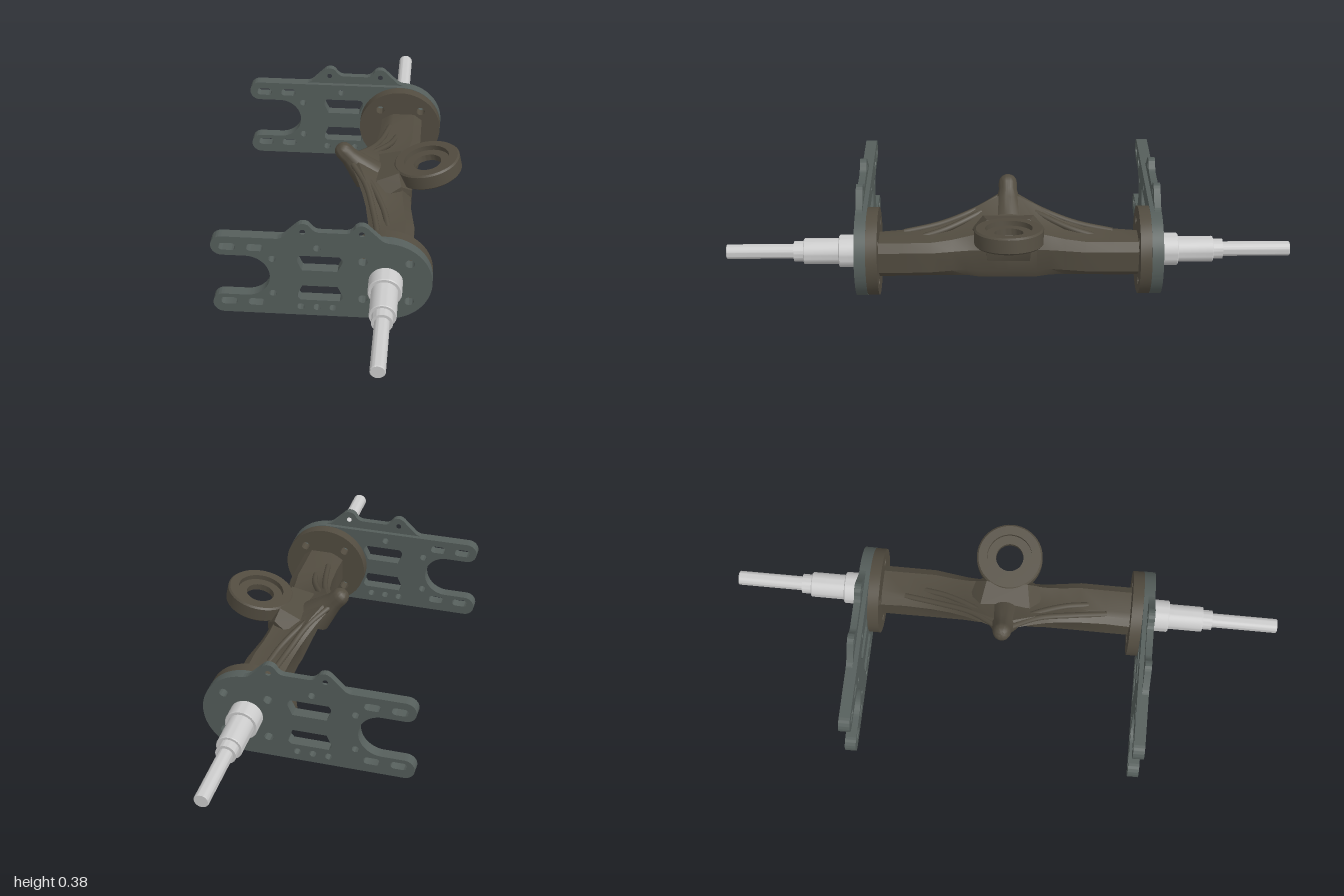
import * as THREE from 'three';
import { toCreasedNormals } from 'three/addons/utils/BufferGeometryUtils.js';
import { ConvexGeometry } from 'three/addons/geometries/ConvexGeometry.js';

const plateMat = new THREE.MeshStandardMaterial({ color: 0x555e5b });
const castMat = new THREE.MeshStandardMaterial({ color: 0x524c40 });
const steelMat = new THREE.MeshStandardMaterial({ color: 0xcccccc });

const AX = 0.17, AY = 0.157, R = 0.156; // axle centre and flange radius

function part(name, geo, mat, parent) {
  const mesh = new THREE.Mesh(geo, mat);
  mesh.name = name;
  parent.add(mesh);
  return mesh;
}

function circle(x, y, r) {
  return new THREE.Path().absarc(x, y, r, 0, Math.PI * 2, true);
}

function slot(x, y, half, r) {
  const p = new THREE.Path();
  p.absarc(x + half, y, r, -Math.PI / 2, Math.PI / 2, false);
  p.absarc(x - half, y, r, Math.PI / 2, Math.PI * 1.5, false);
  return p.closePath();
}

// Extrudes a shape between two distances from the centre, on side s
function slab(shape, z0, z1, s) {
  const geo = new THREE.ExtrudeGeometry(shape, { depth: z1 - z0, bevelEnabled: false, curveSegments: 28 });
  geo.translate(0, 0, s > 0 ? z0 : -z1);
  return toCreasedNormals(geo, 0.6);
}

const flangeHoles = [[0.093, 0.235], [0.093, 0.079], [0.25, 0.235], [0.25, 0.079]];

function plateShape() {
  const e = 0.0375, H = 0.314, P = Math.PI;
  const s = new THREE.Shape();
  s.moveTo(-0.38, 0);
  s.lineTo(AX, 0);
  s.absarc(AX, AY, AY, -P / 2, P / 2, false);
  s.lineTo(-0.38, H);
  s.absarc(-0.381, H - e, e, P / 2, P * 1.5, false);
  s.lineTo(-0.303, H - 2 * e);
  s.absarc(-0.303, AY, AY - 2 * e, P / 2, -P / 2, true);
  s.lineTo(-0.38, 2 * e);
  s.absarc(-0.381, e, e, P / 2, P * 1.5, false);
  for (const y of [0.274, 0.047]) for (const x of [-0.363, -0.269]) s.holes.push(slot(x, y, 0.015, 0.014));
  for (const [x, y] of [[-0.212, 0.231], [-0.212, 0.088], [-0.061, 0.282], [-0.118, 0.036], [-0.063, 0.036], [-0.008, 0.036]])
    s.holes.push(circle(x, y, 0.0125));
  for (const [x, y] of flangeHoles) s.holes.push(circle(x, y, 0.016));
  // Two mirrored windows either side of the middle web
  for (const m of [1, -1]) {
    const pts = [[-0.112, 0.032], [0.008, 0.032], [0.024, 0.068], [0.024, 0.08], [0.015, 0.092],
      [-0.119, 0.092], [-0.128, 0.08], [-0.128, 0.068]];
    s.holes.push(new THREE.Path(pts.map(([x, y]) => new THREE.Vector2(x, AY + m * y))));
  }
  return s;
}

// Thin tabs along the top edge
function tabShape() {
  const s = new THREE.Shape();
  s.moveTo(-0.195, 0.314);
  s.quadraticCurveTo(-0.182, 0.316, -0.172, 0.325);
  s.lineTo(-0.13, 0.367);
  s.quadraticCurveTo(-0.118, 0.379, -0.108, 0.379);
  s.quadraticCurveTo(-0.092, 0.379, -0.084, 0.368);
  s.quadraticCurveTo(-0.07, 0.346, -0.05, 0.346);
  s.lineTo(0.034, 0.346);
  s.quadraticCurveTo(0.054, 0.346, 0.066, 0.368);
  s.quadraticCurveTo(0.075, 0.379, 0.089, 0.379);
  s.quadraticCurveTo(0.102, 0.379, 0.112, 0.367);
  s.lineTo(0.155, 0.324);
  s.quadraticCurveTo(0.168, 0.314, 0.19, 0.312);
  s.lineTo(0.17, 0.31);
  s.lineTo(-0.15, 0.314);
  s.holes.push(circle(-0.108, 0.346, 0.0095), circle(0.089, 0.346, 0.0095));
  return s;
}

// Cast beam lofted along z: rounded box with a web rising to the pivot
function beamGeometry() {
  // distance from centre, web tip x and y, front face x, underside y, top y
  const half = [[0, 0.0, 0.305, 0.235, 0.08, 0.25], [0.04, 0.02, 0.3, 0.235, 0.08, 0.25],
    [0.1, 0.045, 0.28, 0.235, 0.08, 0.245], [0.15, 0.065, 0.258, 0.238, 0.088, 0.235],
    [0.2, 0.08, 0.24, 0.245, 0.088, 0.226], [0.27, 0.092, 0.225, 0.255, 0.088, 0.221],
    [0.37, 0.1, 0.213, 0.255, 0.086, 0.219], [0.46, 0.1, 0.205, 0.255, 0.086, 0.219]];
  const rows = [...half.slice(1).reverse().map(([z, ...r]) => [-z, ...r]), ...half];
  const pos = [], idx = [], n = 10;
  for (const [z, tx, ty, xf, yb, yt] of rows) {
    const ring = [[0.125, yb], [0.225, yb], [xf, yb + 0.03], [xf, 0.195], [xf - 0.03, yt],
      [0.145, yt], [tx + 0.025, ty + 0.004], [tx, ty - 0.012], [0.1, 0.18], [0.1, yb + 0.025]];
    for (const [x, y] of ring) pos.push(x, y, z);
  }
  for (let i = 0; i < rows.length - 1; i++)
    for (let j = 0; j < n; j++) {
      const a = i * n + j, b = i * n + (j + 1) % n;
      idx.push(a, b, b + n, a, b + n, a + n);
    }
  const geo = new THREE.BufferGeometry();
  geo.setAttribute('position', new THREE.Float32BufferAttribute(pos, 3));
  geo.setIndex(idx);
  return toCreasedNormals(geo, 0.5);
}

// Block joining the beam to the bushing ring
function neckGeometry() {
  const pts = [];
  for (const s of [1, -1])
    for (const [x, y, z] of [[0.11, 0.265, 0.09], [0.11, 0.12, 0.1], [0.13, 0.22, 0.14], [0.19, 0.292, 0.075],
      [0.2, 0.26, 0.115], [0.2, 0.2, 0.118], [0.2, 0.15, 0.09], [0.225, 0.132, 0.045],
      [0.235, 0.15, 0.075], [0.237, 0.225, 0.08], [0.215, 0.245, 0.1]])
      pts.push(new THREE.Vector3(x, y, s * z));
  return toCreasedNormals(new ConvexGeometry(pts), 0.6);
}

function lathe(profile, segments = 40) {
  const geo = new THREE.LatheGeometry(profile.map(([r, y]) => new THREE.Vector2(r, y)), segments);
  return toCreasedNormals(geo, 0.5);
}

export function createModel() {
  const model = new THREE.Group();
  model.name = 'axleAssembly';

  // Hanger casting
  const hanger = new THREE.Group();
  hanger.name = 'hanger';
  model.add(hanger);
  part('beam', beamGeometry(), castMat, hanger);
  part('neck', neckGeometry(), castMat, hanger);

  // Tilted bushing ring with a recess on both faces
  const ring = part('bushingRing', lathe([[0.05, -0.012], [0.085, -0.012], [0.085, -0.03], [0.114, -0.03],
    [0.12, -0.024], [0.12, 0.024], [0.114, 0.03], [0.082, 0.03], [0.082, 0.012], [0.05, 0.012], [0.05, -0.012]], 48),
    castMat, hanger);
  ring.position.set(0.291, 0.284, 0);
  ring.rotation.z = 0.21;

  // Pivot nose with a domed end
  const nose = part('pivotNose', lathe([[0.062, -0.13], [0.042, -0.06], [0.033, -0.025], [0.033, 0],
    [0.03, 0.014], [0.022, 0.025], [0.011, 0.031], [0, 0.033]], 28), castMat, hanger);
  nose.position.set(-0.012, 0.329, 0);
  nose.rotation.z = 0.75;

  // Ribs running from the nose out along the beam
  for (const s of [1, -1]) {
    const ribs = [
      [[0.01, 0.3, 0.01], [0.075, 0.266, 0.12], [0.11, 0.232, 0.24], [0.135, 0.213, 0.37]],
      [[0.03, 0.288, 0.01], [0.1, 0.258, 0.12], [0.145, 0.23, 0.22], [0.165, 0.212, 0.3]]];
    for (const rib of ribs) {
      const path = new THREE.CatmullRomCurve3(rib.map(([x, y, z]) => new THREE.Vector3(x, y, s * z)));
      part('rib', new THREE.TubeGeometry(path, 16, 0.011, 8), castMat, hanger);
    }
  }

  const flange = new THREE.Shape().absarc(AX, AY, R, 0, Math.PI * 2, false);
  for (const [x, y] of flangeHoles) flange.holes.push(circle(x, y, 0.016));

  for (const s of [1, -1]) {
    const side = new THREE.Group();
    side.name = s > 0 ? 'frontEnd' : 'backEnd';
    model.add(side);
    part('flange', slab(flange, 0.457, 0.497, s), castMat, side);
    part('mountPlate', slab(plateShape(), 0.497, 0.537, s), plateMat, side);
    part('plateTabs', slab(tabShape(), 0.513, 0.537, s), plateMat, side);

    // Stepped axle
    const axle = part('axle', lathe([[0.058, 0.45], [0.058, 0.597], [0.055, 0.6], [0.046, 0.6], [0.046, 0.722],
      [0.044, 0.725], [0.036, 0.725], [0.036, 0.76], [0.026, 0.76], [0.026, 0.997], [0.023, 1], [0, 1]]),
      steelMat, side);
    axle.position.set(AX, AY, 0);
    axle.rotation.x = s * Math.PI / 2;
  }
  return model;
}
